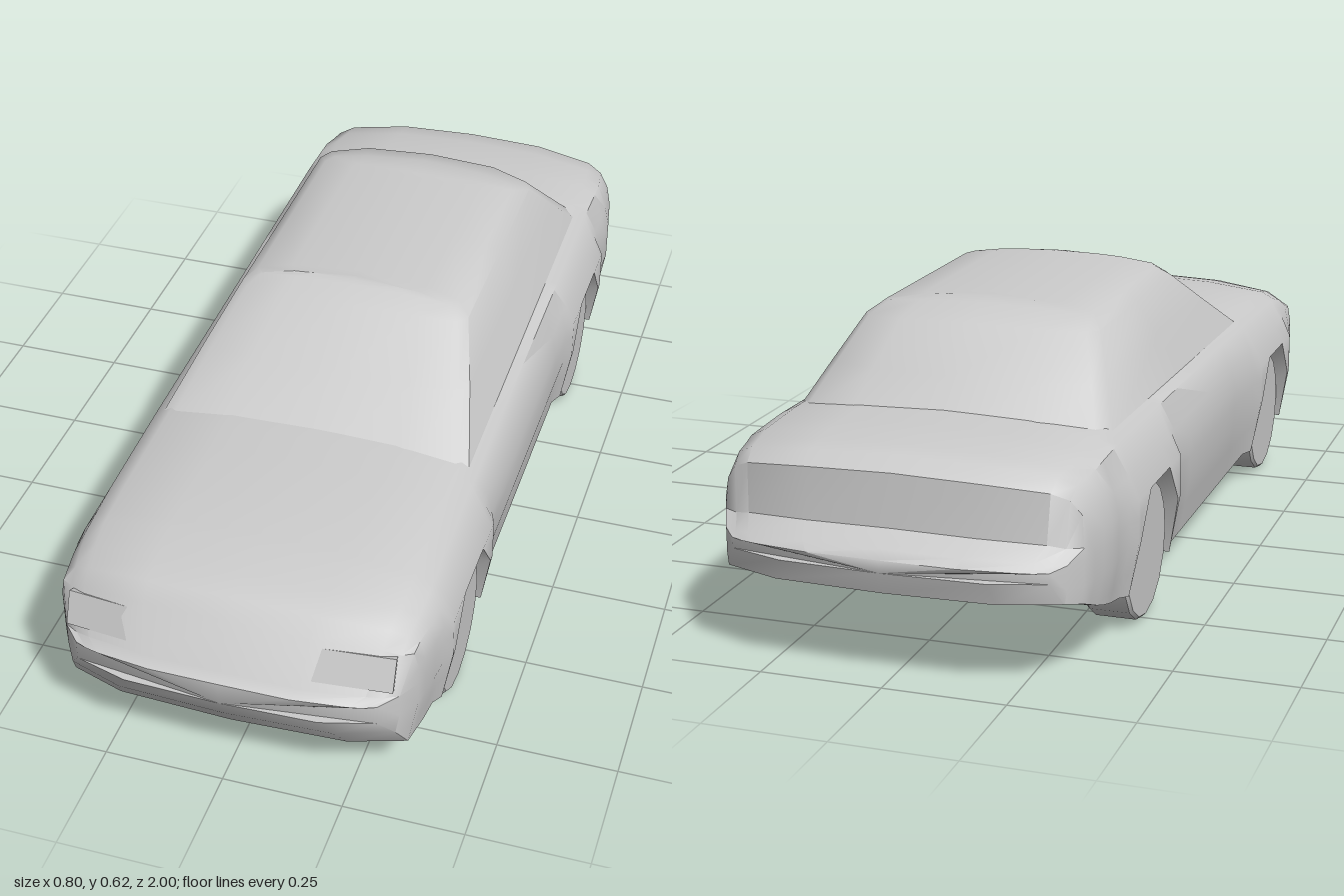
import * as THREE from 'three';
import { toCreasedNormals } from 'three/addons/utils/BufferGeometryUtils.js';

const material = new THREE.MeshStandardMaterial({ color: 0xcccccc });

// Piecewise-linear lookup in [[key, value], ...] with ascending keys
function lookup(table, k) {
  if (k <= table[0][0]) return table[0][1];
  for (let i = 1; i < table.length; i++) {
    const [k0, v0] = table[i - 1], [k1, v1] = table[i];
    if (k <= k1) return v0 + (v1 - v0) * (k - k0) / (k1 - k0);
  }
  return table[table.length - 1][1];
}

// Skin over closed rings of [x, y, z] points, optionally capped at both ends
function loft(rings, capped, crease) {
  const pos = [];
  const tri = (a, b, c) => pos.push(...a, ...b, ...c);
  const n = rings[0].length;
  for (let i = 0; i < rings.length - 1; i++) {
    const a = rings[i], b = rings[i + 1];
    for (let j = 0; j < n; j++) {
      const k = (j + 1) % n;
      tri(a[j], b[j], a[k]);
      tri(a[k], b[j], b[k]);
    }
  }
  if (capped) {
    const first = rings[0], last = rings[rings.length - 1];
    for (let j = 1; j < n - 1; j++) {
      tri(first[0], first[j], first[j + 1]);
      tri(last[0], last[j + 1], last[j]);
    }
  }
  const g = new THREE.BufferGeometry();
  g.setAttribute('position', new THREE.Float32BufferAttribute(pos, 3));
  return toCreasedNormals(g, crease);
}

function addMesh(parent, name, geometry) {
  const mesh = new THREE.Mesh(geometry, material);
  mesh.name = name;
  parent.add(mesh);
  return mesh;
}

// Lower and upper centre lines, plan width and side bulge of the body
const bottomLine = [[-1, 0.23], [-0.985, 0.185], [-0.85, 0.145], [-0.65, 0.1], [-0.45, 0.085],
  [0.7, 0.085], [0.94, 0.108], [0.98, 0.165], [1, 0.21]];
const topLine = [[-1, 0.255], [-0.985, 0.272], [-0.945, 0.3], [-0.935, 0.405], [-0.9, 0.43],
  [-0.8, 0.443], [-0.65, 0.45], [0.4, 0.44], [0.65, 0.433], [0.8, 0.42], [0.9, 0.398],
  [0.94, 0.375], [0.98, 0.275], [1, 0.26]];
const planWidth = [[-1, 0.32], [-0.985, 0.345], [-0.935, 0.37], [-0.8, 0.387],
  [0.8, 0.387], [0.94, 0.37], [0.98, 0.345], [1, 0.31]];
const sideBulge = [[0.085, 0.365], [0.21, 0.387], [0.3, 0.387], [0.34, 0.378], [0.4, 0.357]];

const wheelZ = [0.58, -0.487];
const archShape = [[-0.157, 0], [-0.14, 0.21], [-0.07, 0.3], [0.07, 0.3], [0.14, 0.21], [0.157, 0]];

// One cross-section; arch raises the sill to open a wheel well
function bodySection({ z, arch = 0, flare = 0 }) {
  const b = lookup(bottomLine, z), t = lookup(topLine, z);
  const s = lookup(planWidth, z) / 0.387;
  const h = Math.min(1, (t - b) / 0.3);
  const a = Math.max(b, arch), edge = t - 0.04 * h;
  const side = (y) => [s * lookup(sideBulge, y) + flare * Math.min(1, Math.max(0, (0.36 - y) / 0.06)), y];
  const half = [[0, b], [0.25 * s, b], [0.25 * s, a], side(a)];
  for (const y of [0.15, 0.21, 0.26, 0.3, 0.345]) half.push(side(Math.min(edge, Math.max(a, y))));
  half.push([0.355 * s, edge], [0.32 * s, t - 0.022 * h], [0.18 * s, t - 0.006 * h], [0, t]);
  const loop = [...half, ...half.slice(1, -1).reverse().map(([x, y]) => [-x, y])];
  // Bow the nose and tail in plan
  const bow = Math.sign(z) * 0.06 * Math.max(0, (Math.abs(z) - 0.75) / 0.25);
  return loop.map(([x, y]) => [x, y, z - bow * (x / 0.35) ** 4]);
}

function bodyGeometry() {
  const stations = [1, 0.98, 0.94, 0.9, 0.84, 0.765, 0.39, 0.2, 0, -0.2, -0.3, -0.67, -0.74,
    -0.8, -0.85, -0.9, -0.935, -0.945, -0.985, -1].map((z) => ({ z }));
  for (const wz of wheelZ) {
    for (const [dz, arch] of archShape) stations.push({ z: wz + dz, arch, flare: 0.013 });
  }
  stations.sort((p, q) => q.z - p.z);
  return loft(stations.map(bodySection), true, 0.75);
}

// Horizontal outline of the cabin, bowed at the front and rear glass
function cabinRing([y, crown, w, front, frontCorner, rear, rearCorner]) {
  const half = [[0, front], [0.6 * w, front * 0.7 + frontCorner * 0.3], [0.93 * w, frontCorner + 0.008],
    [w, frontCorner - 0.015], [w, (frontCorner + rearCorner) / 2], [w, rearCorner + 0.015],
    [0.93 * w, rearCorner * 0.7 + rear * 0.3], [0.6 * w, rear + 0.008], [0, rear]];
  const loop = [...half, ...half.slice(1, -1).reverse().map(([x, z]) => [-x, z])];
  return loop.map(([x, z]) => [x, y + crown * (1 - (w ? (x / w) ** 2 : 0)), z]);
}

function cabinGeometry() {
  const rings = [
    [0.622, 0, 0, 0.09, 0.08, -0.37, -0.36],
    [0.615, 0.006, 0.15, 0.1, 0.09, -0.39, -0.37],
    [0.602, 0.016, 0.226, 0.115, 0.1, -0.43, -0.4],
    [0.58, 0.012, 0.254, 0.155, 0.125, -0.505, -0.45],
    [0.5, 0.005, 0.294, 0.295, 0.255, -0.597, -0.53],
    [0.41, 0, 0.336, 0.45, 0.41, -0.695, -0.625],
  ];
  return loft(rings.map(cabinRing), false, 0.6);
}

export function createModel() {
  const car = new THREE.Group();
  car.name = 'car';
  addMesh(car, 'body', bodyGeometry());
  addMesh(car, 'cabin', cabinGeometry());

  // Plain wheels with a small bevel
  const profile = [[0, -0.048], [0.139, -0.048], [0.145, -0.042], [0.145, 0.042], [0.139, 0.048], [0, 0.048]]
    .map(([r, x]) => new THREE.Vector2(r, x));
  const wheel = toCreasedNormals(new THREE.LatheGeometry(profile, 16), 0.6);
  wheel.rotateZ(-Math.PI / 2);

  for (const side of [1, -1]) {
    const label = side > 0 ? 'left' : 'right';
    wheelZ.forEach((z, i) => {
      addMesh(car, label + (i ? 'RearWheel' : 'FrontWheel'), wheel).position.set(side * 0.325, 0.145, z);
    });
    // Nearly flush lamp panel following the slope of the nose
    const lamp = addMesh(car, label + 'Headlamp', new THREE.BoxGeometry(0.17, 0.07, 0.025));
    lamp.position.set(side * 0.25, 0.312, 0.932);
    lamp.rotation.set(-0.38, side * 0.16, 0);
  }
  return car;
}
